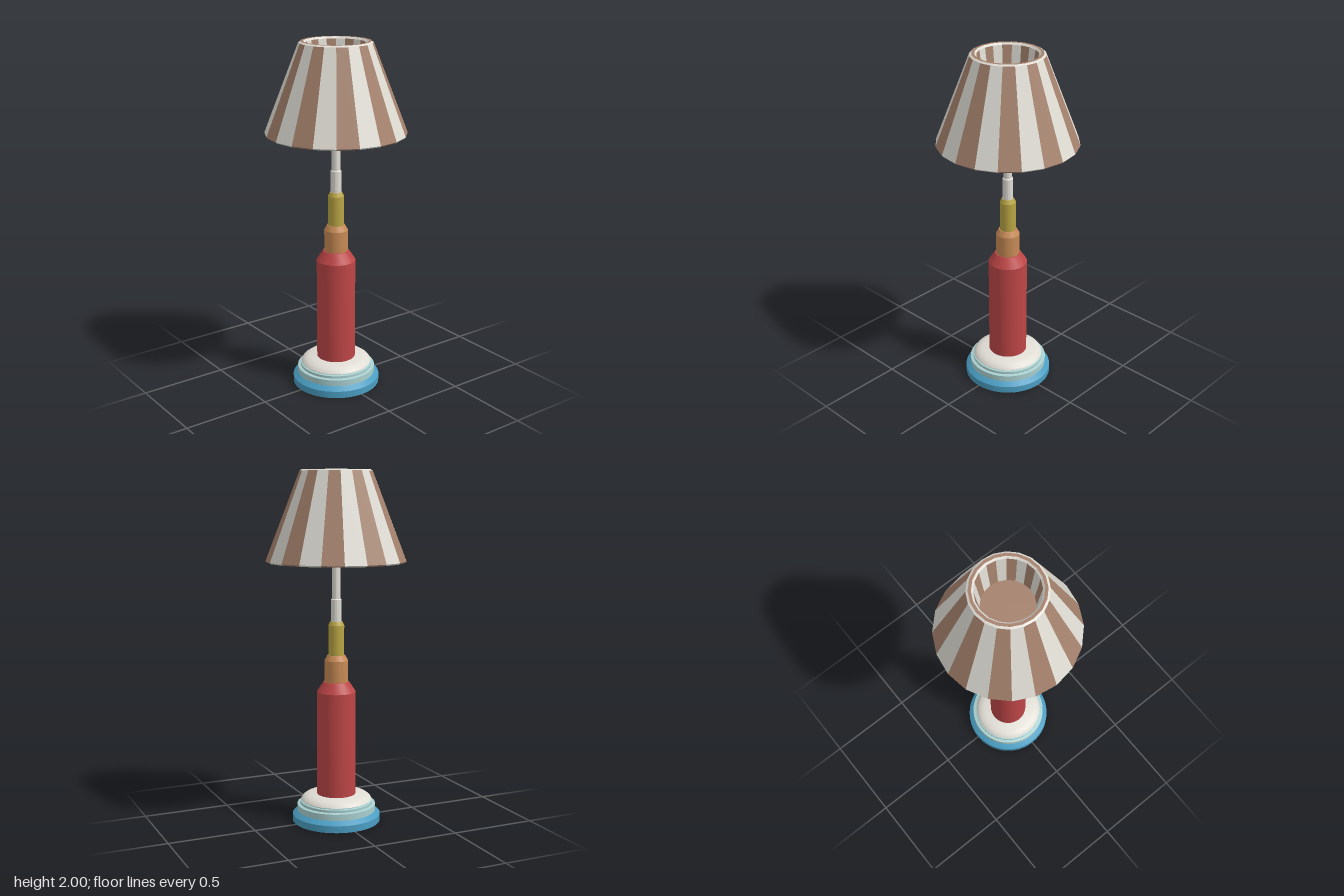
import * as THREE from 'three';
import { mergeGeometries, toCreasedNormals } from 'three/addons/utils/BufferGeometryUtils.js';

const SIDES = 20;
const CREAM = 0xe0ddd5, BROWN = 0xa5826d;

const points = (profile) => profile.map(([r, y]) => new THREE.Vector2(r, y));

// Smooth turned part with crisp profile edges
function turned(name, color, profile) {
  const geometry = toCreasedNormals(new THREE.LatheGeometry(points(profile), 48), 0.4);
  const mesh = new THREE.Mesh(geometry, new THREE.MeshStandardMaterial({ color }));
  mesh.name = name;
  return mesh;
}

// Faceted ring of the lampshade
function faceted(name, color, profile) {
  const geometry = new THREE.LatheGeometry(points(profile), SIDES);
  const mesh = new THREE.Mesh(geometry, new THREE.MeshStandardMaterial({ color, flatShading: true }));
  mesh.name = name;
  return mesh;
}

// Every second facet of a faceted profile, starting at the given one
function stripes(name, color, profile, first) {
  const step = (Math.PI * 2) / SIDES;
  const panels = [];
  for (let i = first; i < SIDES; i += 2) {
    panels.push(new THREE.LatheGeometry(points(profile), 1, i * step, step));
  }
  const material = new THREE.MeshStandardMaterial({ color, flatShading: true });
  const mesh = new THREE.Mesh(mergeGeometries(panels), material);
  mesh.name = name;
  return mesh;
}

export function createModel() {
  const lamp = new THREE.Group();
  lamp.name = 'tableLamp';

  // Stepped base
  const base = new THREE.Group();
  base.name = 'base';
  base.add(
    turned('baseFoot', 0x4a9dc2, [[0, 0], [0.252, 0], [0.252, 0.04], [0.24, 0.05], [0.225, 0.062], [0, 0.062]]),
    turned('baseLowerStep', 0xa9cfcf, [[0.18, 0.06], [0.225, 0.062], [0.225, 0.098], [0.208, 0.102], [0.208, 0.116], [0.198, 0.12], [0.198, 0.13], [0, 0.13]]),
    turned('baseCap', CREAM, [[0.15, 0.122], [0.203, 0.125], [0.197, 0.135], [0.18, 0.148], [0.152, 0.158], [0, 0.158]]),
  );
  lamp.add(base);

  // Stacked column, each section narrower than the one below
  const column = new THREE.Group();
  column.name = 'column';
  column.add(
    turned('columnBody', 0xbd4546, [[0.111, 0.15], [0.111, 0.755], [0.073, 0.812], [0, 0.812]]),
    turned('columnCollar', 0xc68a55, [[0.067, 0.8], [0.067, 0.935], [0.05, 0.965], [0, 0.965]]),
    turned('columnNeck', 0xb8a443, [[0.045, 0.95], [0.045, 1.135], [0.034, 1.157], [0, 1.157]]),
    turned('lowerRod', CREAM, [[0.03, 1.14], [0.03, 1.28], [0.025, 1.285], [0, 1.285]]),
    turned('upperRod', CREAM, [[0.024, 1.27], [0.024, 1.5]]),
  );
  lamp.add(column);

  // Striped shade with closed underside and a recessed well at the top
  const shade = new THREE.Group();
  shade.name = 'shade';
  const outside = [[0, 1.49], [0.387, 1.49], [0.395, 1.498], [0.203, 1.993]];
  const well = [[0.166, 1.99], [0.141, 1.8]];
  [BROWN, CREAM].forEach((color, i) => {
    const tone = i ? 'cream' : 'brown';
    shade.add(
      stripes(tone + 'Stripes', color, outside, i),
      stripes(tone + 'WellStripes', color, well, i),
    );
  });
  shade.add(
    faceted('rimOuterEdge', CREAM, [[0.203, 1.993], [0.192, 2]]),
    faceted('rimTop', BROWN, [[0.192, 2], [0.176, 2]]),
    faceted('rimInnerEdge', CREAM, [[0.176, 2], [0.166, 1.99]]),
    faceted('wellFloor', BROWN, [[0.141, 1.8], [0, 1.8]]),
  );
  lamp.add(shade);

  return lamp;
}
